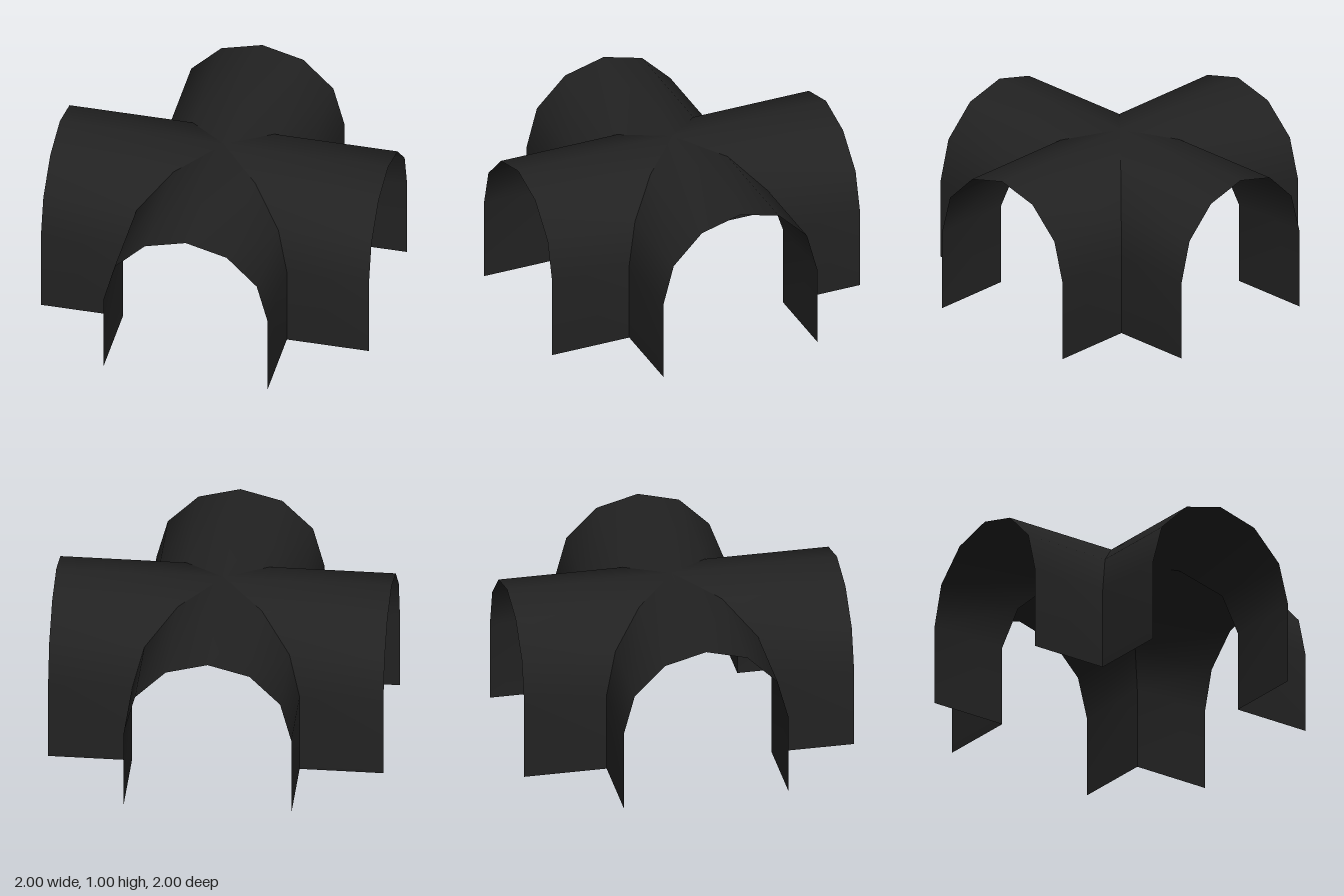
import * as THREE from 'three';

// Half-round arch on straight legs, left to right
function archProfile() {
  const points = [[-0.5, 0]];
  for (let i = 0; i <= 6; i++) {
    const a = Math.PI * (1 - i / 6);
    points.push([0.5 * Math.cos(a), 0.5 + 0.5 * Math.sin(a)]);
  }
  points.push([0.5, 0]);
  return points;
}

// One barrel arm, mitred at the diagonal groins and open at z = 1
function vaultArmGeometry() {
  const positions = [];
  const indices = [];
  archProfile().forEach(([x, y], i) => {
    positions.push(x, y, Math.abs(x), x, y, 1);
    if (i > 0) {
      const a = 2 * (i - 1);
      indices.push(a, a + 1, a + 2, a + 1, a + 3, a + 2);
    }
  });
  const geometry = new THREE.BufferGeometry();
  geometry.setAttribute('position', new THREE.Float32BufferAttribute(positions, 3));
  geometry.setIndex(indices);
  geometry.computeVertexNormals();
  return geometry;
}

export function createModel() {
  const group = new THREE.Group();
  group.name = 'crossVault';
  const charcoal = new THREE.MeshStandardMaterial({ color: 0x222222, side: THREE.DoubleSide });
  charcoal.name = 'charcoal';

  // Four identical arms around the crossing
  const geometry = vaultArmGeometry();
  ['frontArm', 'leftArm', 'backArm', 'rightArm'].forEach((name, i) => {
    const arm = new THREE.Mesh(geometry, charcoal);
    arm.name = name;
    arm.rotation.y = i * Math.PI / 2;
    group.add(arm);
  });
  return group;
}
